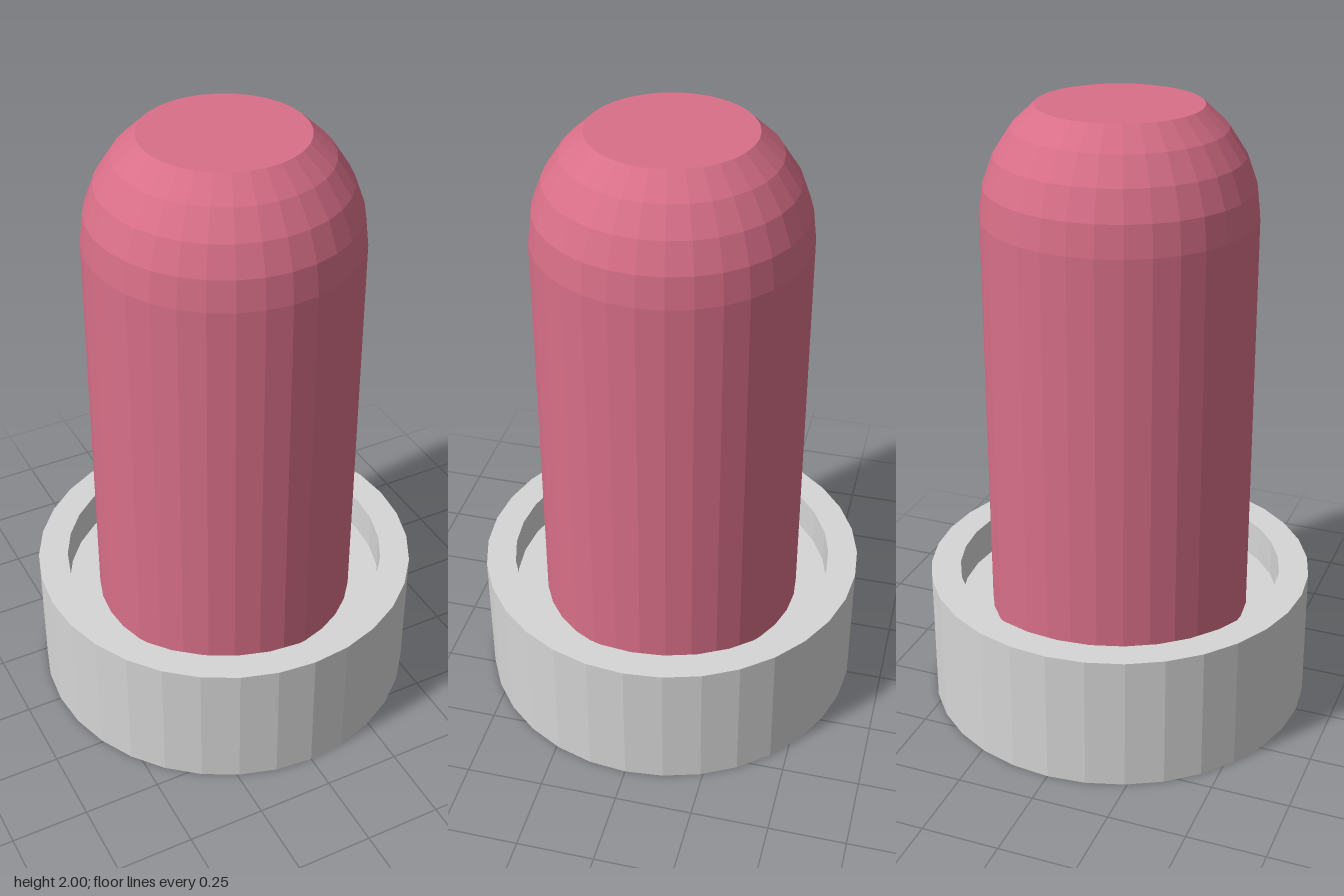
import * as THREE from 'three';

const SIDES = 32;

function material(name, color) {
  const m = new THREE.MeshStandardMaterial({ color, flatShading: true });
  m.name = name;
  return m;
}

// Turn a profile of [radius, height] pairs, listed from bottom to top
function turned(name, profile, mat) {
  const points = profile.map(([r, y]) => new THREE.Vector2(r, y));
  const mesh = new THREE.Mesh(new THREE.LatheGeometry(points, SIDES), mat);
  mesh.name = name;
  return mesh;
}

export function createModel() {
  const grey = material('light grey', 0xd6d6d6);
  const pink = material('pink', 0xd86f88);
  const group = new THREE.Group();
  group.name = 'domedPostInCup';

  // Shallow cup with a raised rim around a recessed floor
  const floorY = 0.32, rimY = 0.445;
  group.add(turned('baseCup', [
    [0, 0], [0.633, 0], [0.633, rimY], [0.535, rimY], [0.535, floorY], [0, floorY],
  ], grey));

  // Post with a rounded shoulder cut off flat at the top
  const radius = 0.43, shoulderY = 1.655, bands = 4;
  const cutAngle = Math.asin((2 - shoulderY) / radius);
  const profile = [[0, floorY - 0.02], [radius, floorY - 0.02]];
  for (let i = 0; i <= bands; i++) {
    const a = (cutAngle * i) / bands;
    profile.push([radius * Math.cos(a), shoulderY + radius * Math.sin(a)]);
  }
  profile.push([0, 2]);
  group.add(turned('post', profile, pink));

  return group;
}
